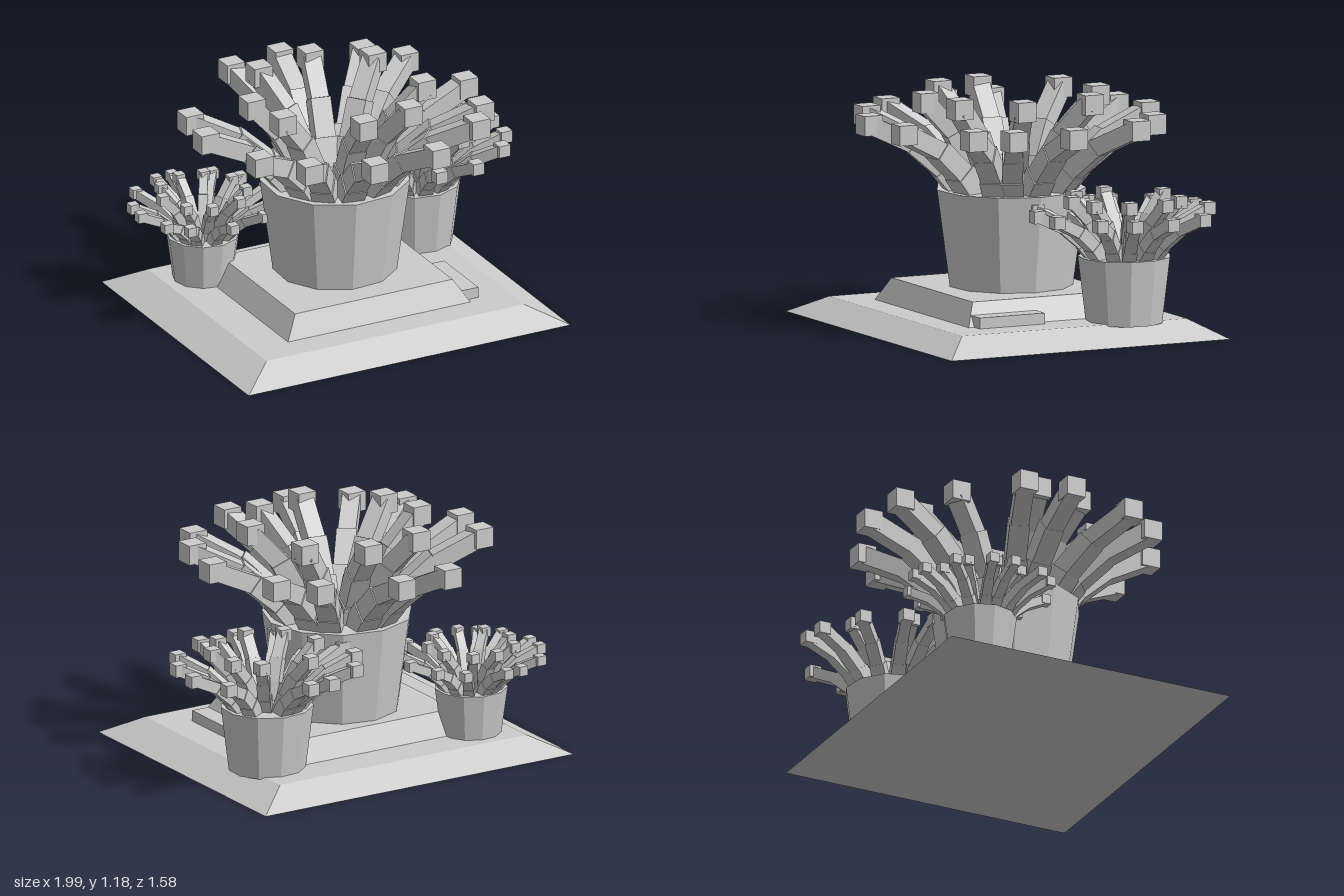
import * as THREE from 'three';

const stone = new THREE.MeshStandardMaterial({ color: 0xcccccc });
stone.name = 'pale grey';

function add(parent, name, geometry, x = 0, y = 0, z = 0) {
  const mesh = new THREE.Mesh(geometry, stone);
  mesh.name = name;
  mesh.position.set(x, y, z);
  parent.add(mesh);
  return mesh;
}

// Block whose top is drawn in on every side
function frustum(x0, x1, y0, y1, z0, z1, insetX, insetZ) {
  const w = x1 - x0, d = z1 - z0;
  const g = new THREE.BoxGeometry(w, y1 - y0, d);
  const p = g.attributes.position;
  for (let i = 0; i < p.count; i++) {
    if (p.getY(i) > 0) {
      p.setX(i, p.getX(i) * (1 - 2 * insetX / w));
      p.setZ(i, p.getZ(i) * (1 - 2 * insetZ / d));
    }
  }
  g.computeVertexNormals();
  return g.translate((x0 + x1) / 2, (y0 + y1) / 2, (z0 + z1) / 2);
}

// Arm centre lines as [distance from axis, height above the pot rim]
const OUTER = [[0.2, -0.07], [0.34, 0.10], [0.49, 0.23], [0.72, 0.34]];
const INNER = [[0.13, -0.07], [0.20, 0.11], [0.29, 0.28], [0.44, 0.445]];
const THICKNESS = [0.115, 0.102, 0.09];

// Three straight segments bending outward, ending in an upright cube
function addArm(plant, path, degrees) {
  const a = THREE.MathUtils.degToRad(degrees);
  const arm = new THREE.Group();
  arm.name = 'arm';
  arm.rotation.y = -a;
  for (let i = 0; i < 3; i++) {
    const [r0, y0] = path[i], [r1, y1] = path[i + 1];
    const length = Math.hypot(r1 - r0, y1 - y0);
    const t = THICKNESS[i];
    const segment = add(arm, 'armSegment', new THREE.BoxGeometry(length + (i < 2 ? 0.02 : 0), t, t),
      (r0 + r1) / 2, (y0 + y1) / 2, 0);
    segment.rotation.z = Math.atan2(y1 - y0, r1 - r0);
  }
  plant.add(arm);
  const [r, y] = path[3];
  add(plant, 'armTip', new THREE.BoxGeometry(0.1, 0.1, 0.1), r * Math.cos(a), y, r * Math.sin(a));
}

// Tapered eleven-sided pot with two rings of arms, origin at the rim
function makePlant({ name, x, z, bottom, rim, scale, turn, outer, inner }) {
  const plant = new THREE.Group();
  plant.name = name;
  plant.position.set(x, rim, z);
  plant.scale.setScalar(scale);
  const height = (rim - bottom) / scale;
  const pot = new THREE.CylinderGeometry(0.375, 0.31, height, 11, 1, false, turn).toNonIndexed();
  pot.computeVertexNormals();
  add(plant, 'pot', pot, 0, -height / 2, 0);
  outer.forEach(d => addArm(plant, OUTER, d));
  inner.forEach(d => addArm(plant, INNER, d));
  return plant;
}

export function createModel() {
  const model = new THREE.Group();
  model.name = 'pottedGarden';

  // Stepped ground
  add(model, 'base', frustum(-1, 0.8, 0, 0.09, -0.755, 0.79, 0.18, 0.15));
  add(model, 'platform', frustum(-0.62, 0.4, 0.09, 0.205, -0.41, 0.49, 0.07, 0.057));
  add(model, 'step', new THREE.BoxGeometry(0.16, 0.055, 0.36), 0.38, 0.1175, 0.28);

  // Arm directions are degrees from +x towards +z
  model.add(makePlant({
    name: 'largePlant', x: -0.1, z: 0.005, bottom: 0.205, rim: 0.69, scale: 1, turn: -0.2,
    outer: [-107, -84, -51, -33, 1, 25.5, 41.5, 73.5, 102, 128, 149, 180, 199.5],
    inner: [-120, -78, -36.5, 19, 61.5, 99, 153.5, 186],
  }));
  model.add(makePlant({
    name: 'mediumPlant', x: 0.515, z: -0.315, bottom: 0.08, rim: 0.41, scale: 0.62, turn: 0.1,
    outer: [-103.5, -87, -33, -4, 20.5, 42.5, 75, 102, 128, 155, 178, -162.5, -135],
    inner: [-52.5, -20.5, 22, 60, 100, 140, 185, 250],
  }));
  model.add(makePlant({
    name: 'smallPlant', x: -0.62, z: -0.405, bottom: 0.09, rim: 0.325, scale: 0.487, turn: 0.1,
    outer: [-103, -88, -54, -30, 0, 28, 58, 93, 128, 148, 178, -163.5, -133],
    inner: [-137, -95, -61, -20, 20, 60, 105, 140, 185],
  }));
  return model;
}
